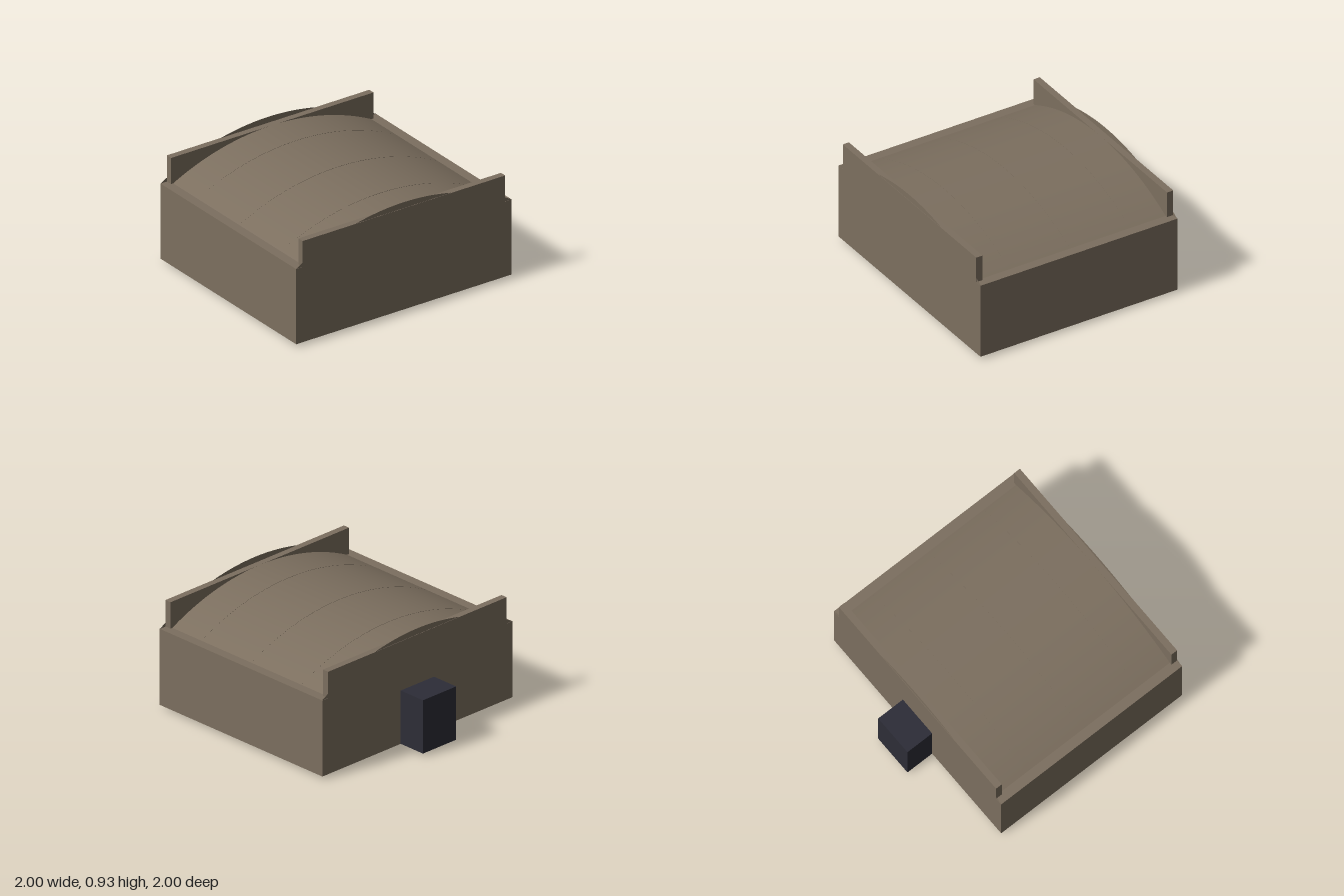
import * as THREE from 'three';
import { toCreasedNormals } from 'three/addons/utils/BufferGeometryUtils.js';

const FRONT = 1, BACK = -0.76, RIM = 0.055;

// Circular segment: flat base at y = base, half width w, crown at y = top
function archShape(w, base, top) {
  const rise = top - base;
  const r = (w * w + rise * rise) / (2 * rise);
  const a = Math.asin(w / r);
  const shape = new THREE.Shape();
  shape.moveTo(-w, base);
  shape.lineTo(w, base);
  shape.absarc(0, top - r, r, Math.PI / 2 - a, Math.PI / 2 + a, false);
  return shape;
}

function archSolid(w, base, top, z0, z1) {
  const geo = new THREE.ExtrudeGeometry(archShape(w, base, top), {
    depth: z1 - z0, bevelEnabled: false, curveSegments: 40,
  });
  geo.translate(0, 0, z0);
  return toCreasedNormals(geo, 0.4);
}

export function createModel() {
  const group = new THREE.Group();
  const clay = new THREE.MeshStandardMaterial({ color: 0x7c6f5f });
  clay.name = 'clayBrown';
  const dark = new THREE.MeshStandardMaterial({ color: 0x2d2d37 });
  dark.name = 'darkSlate';
  const sheet = new THREE.MeshStandardMaterial({ color: 0x7c6f5f, side: THREE.DoubleSide });
  sheet.name = 'clayBrownSheet';

  function add(name, geo, mat) {
    const mesh = new THREE.Mesh(geo, mat);
    mesh.name = name;
    group.add(mesh);
  }
  function box(name, mat, x0, x1, y0, y1, z0, z1) {
    const geo = new THREE.BoxGeometry(x1 - x0, y1 - y0, z1 - z0);
    geo.translate((x0 + x1) / 2, (y0 + y1) / 2, (z0 + z1) / 2);
    add(name, geo, mat);
  }

  // Main block on its inset floor slab
  box('floorSlab', clay, -0.94, 0.94, 0, 0.04, BACK + RIM, FRONT - RIM);
  box('walls', clay, -1, 1, 0.025, 0.66, BACK, FRONT);

  // Raised end walls
  box('frontParapet', clay, -0.94, 0.94, 0.65, 0.88, FRONT - RIM, FRONT);
  box('backParapet', clay, -0.94, 0.94, 0.65, 0.88, BACK, BACK + RIM);

  // Low vaulted roof between the end walls
  add('vaultedRoof', archSolid(0.93, 0.655, 0.88, BACK + RIM, FRONT - RIM), clay);

  // Slightly proud roof ribs
  for (const z of [0.66, 0.12, -0.42]) {
    add('roofRib', archSolid(0.93, 0.655, 0.882, z - 0.03, z + 0.03), clay);
  }

  // Thin arched gable sheets, rising above the end walls
  for (const [name, z] of [['frontGable', FRONT - 0.003], ['backGable', BACK + 0.003]]) {
    const geo = new THREE.ShapeGeometry(archShape(1, 0.66, 0.93), 40);
    geo.translate(0, 0, z);
    add(name, geo, sheet);
  }

  // Box on the back wall
  box('rearBox', dark, -0.175, 0.175, 0.025, 0.47, -1, BACK + 0.01);

  return group;
}
